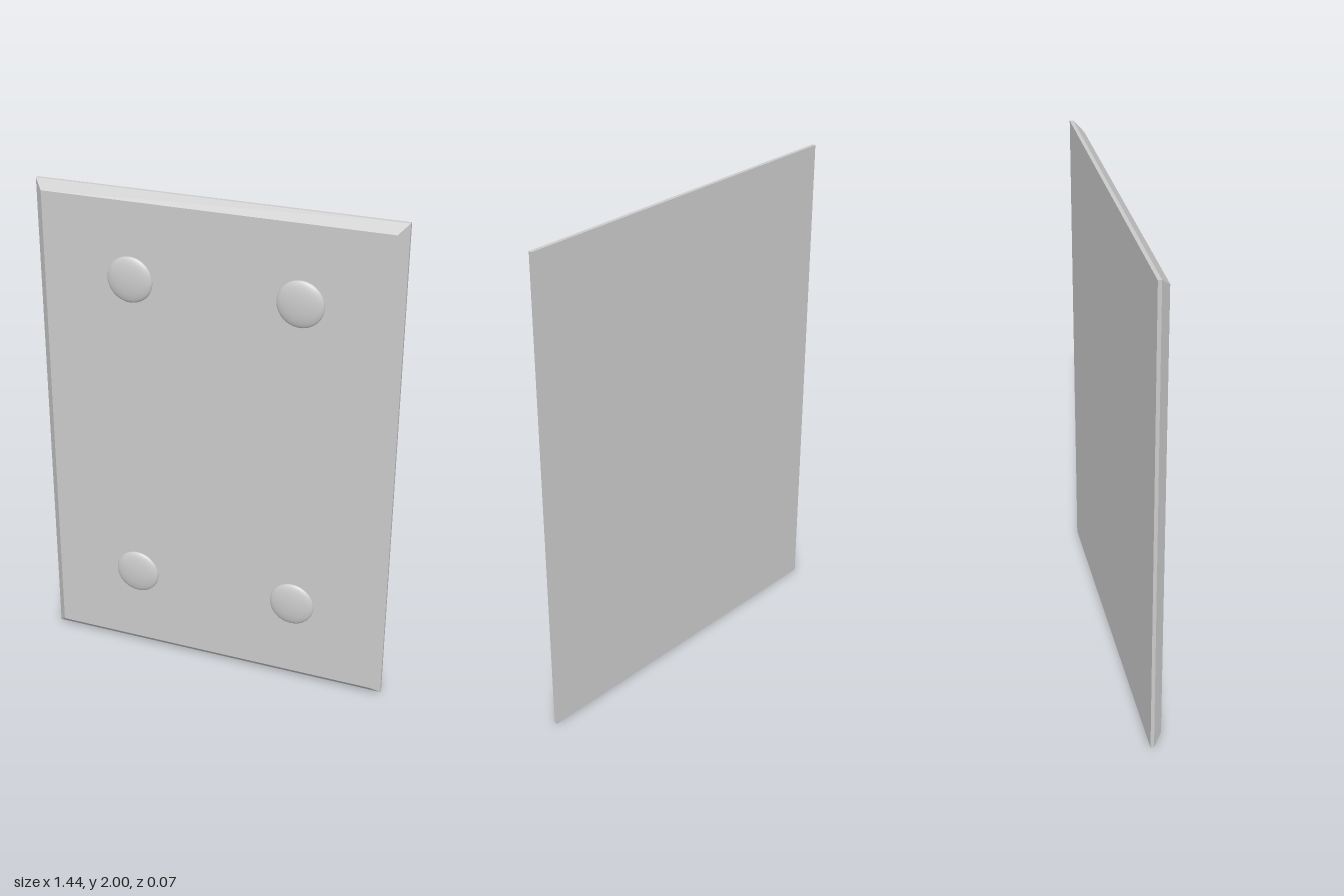
import * as THREE from 'three';

const BACK = -0.036, RIM = -0.022, FACE = 0.014, TOP = 0.036;
const WIDTH = 1.444, HEIGHT = 2, BEVEL = 0.036;

// Rectangular slab: a thin straight rim at the back, bevelled in to the front face
function plateGeometry() {
  const box = new THREE.BoxGeometry(WIDTH, HEIGHT, 2, 1, 1, 2);
  const p = box.attributes.position;
  for (let i = 0; i < p.count; i++) {
    const layer = Math.round(p.getZ(i));
    const inset = layer > 0 ? BEVEL : 0;
    p.setXYZ(
      i,
      p.getX(i) - Math.sign(p.getX(i)) * inset,
      p.getY(i) - Math.sign(p.getY(i)) * inset,
      [BACK, RIM, FACE][layer + 1]
    );
  }
  const flat = box.toNonIndexed();
  flat.computeVertexNormals();
  return flat;
}

// Shallow half-ellipsoid stud, its dome facing +z
function studGeometry() {
  const dome = new THREE.SphereGeometry(1, 48, 16, 0, Math.PI * 2, 0, Math.PI / 2);
  dome.rotateX(Math.PI / 2);
  dome.scale(0.092, 0.092, TOP - FACE);
  return dome;
}

export function createModel() {
  const model = new THREE.Group();
  model.name = 'studdedPanel';
  const material = new THREE.MeshStandardMaterial({ color: 0xcccccc });

  const plate = new THREE.Mesh(plateGeometry(), material);
  plate.name = 'plate';
  plate.position.y = HEIGHT / 2;
  model.add(plate);

  // Four studs, one near each corner
  const stud = studGeometry();
  for (const [row, y] of [['lower', 0.362], ['upper', 1.658]]) {
    for (const [side, x] of [['Right', -0.33], ['Left', 0.344]]) {
      const mesh = new THREE.Mesh(stud, material);
      mesh.name = `${row}${side}Stud`;
      mesh.position.set(x, y, FACE);
      model.add(mesh);
    }
  }
  return model;
}
